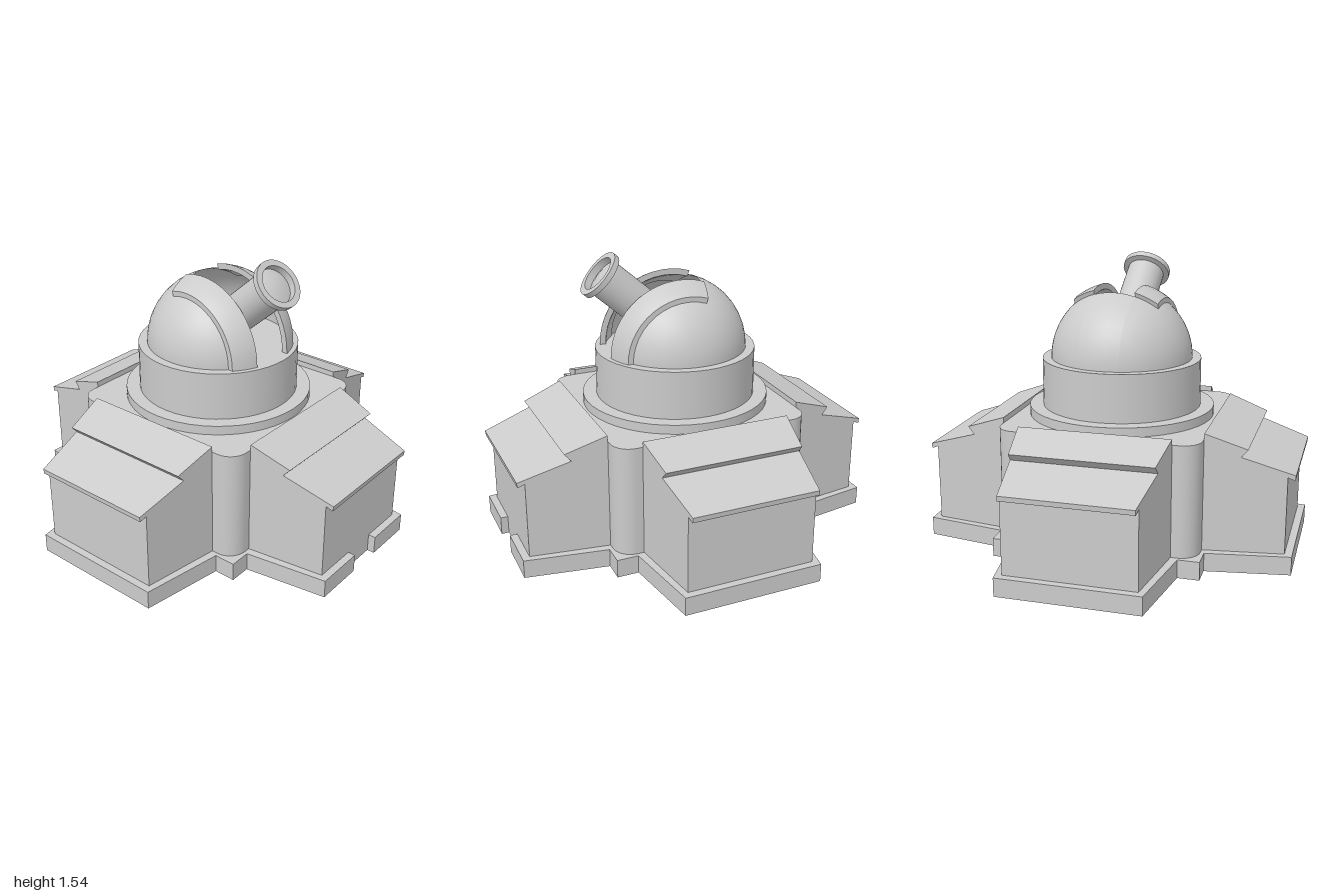
import * as THREE from 'three';
import { toCreasedNormals } from 'three/addons/utils/BufferGeometryUtils.js';

const material = new THREE.MeshStandardMaterial({ color: 0xcccccc, side: THREE.DoubleSide });
const vec = ([x, y]) => new THREE.Vector2(x, y);

function add(parent, name, geometry) {
  const mesh = new THREE.Mesh(geometry, material);
  mesh.name = name;
  parent.add(mesh);
  return mesh;
}

// Repeat a list of plan points around the four quadrants.
function fourfold(points) {
  const out = [];
  for (let k = 0; k < 4; k++) {
    for (let [x, y] of points) {
      for (let i = 0; i < k; i++) [x, y] = [-y, x];
      out.push([x, y]);
    }
  }
  return out;
}

// C-shaped plinth following the walls, open at the entrance on +x.
function plinthGeometry() {
  const outer = fourfold([[1, 0.375], [0.56, 0.445], [0.56, 0.56], [0.445, 0.56], [0.375, 1]]);
  const inner = fourfold([[0.96, 0.345], [0.54, 0.405], [0.54, 0.44], [0.51, 0.51], [0.44, 0.54], [0.405, 0.54], [0.345, 0.96]]);
  const loop = [[1, 0.1], ...outer, [1, -0.1], [0.96, -0.1], ...inner.reverse(), [0.96, 0.1]];
  return new THREE.ExtrudeGeometry(new THREE.Shape(loop.map(vec)), { depth: 0.1, bevelEnabled: false })
    .rotateX(-Math.PI / 2);
}

// Wing section as [distance from centre, height]; its half width tapers outward.
const WING = [[0.54, 0.7], [0.54, 0.73], [0.76, 0.653], [0.725, 0.613], [1, 0.527], [0.997, 0.5], [0.96, 0.515], [0.96, 0]];
const halfWidth = (r) => 0.405 - (r - 0.54) * 0.141;

function wingSkin() {
  const pos = [];
  for (let i = 0; i < WING.length - 1; i++) {
    const [[r, y], [r2, y2]] = [WING[i], WING[i + 1]];
    const w = halfWidth(r), w2 = halfWidth(r2);
    pos.push(-w, y, r, -w2, y2, r2, w, y, r);
    pos.push(w, y, r, -w2, y2, r2, w2, y2, r2);
  }
  const geometry = new THREE.BufferGeometry();
  geometry.setAttribute('position', new THREE.Float32BufferAttribute(pos, 3));
  geometry.computeVertexNormals();
  return geometry;
}

function wingSide(sign) {
  const geometry = new THREE.ShapeGeometry(new THREE.Shape([...WING, [0.54, 0]].map(vec)));
  const p = geometry.attributes.position;
  for (let i = 0; i < p.count; i++) {
    const r = p.getX(i);
    p.setXYZ(i, sign * halfWidth(r), p.getY(i), r);
  }
  if (sign > 0) geometry.setIndex([...geometry.index.array].reverse());
  geometry.computeVertexNormals();
  return geometry;
}

// Rounded corner wall between two wings.
function cornerWall() {
  const plan = [[0.54, 0.4]];
  for (let i = 0; i <= 8; i++) {
    const a = (i / 8) * Math.PI / 2;
    plan.push([0.44 + 0.1 * Math.cos(a), 0.44 + 0.1 * Math.sin(a)]);
  }
  plan.push([0.4, 0.54]);
  const pos = [], index = [];
  plan.forEach(([x, z], i) => {
    pos.push(x, 0, z, x, 0.7, z);
    const a = 2 * i;
    if (i) index.push(a - 2, a - 1, a, a, a - 1, a + 1);
  });
  const geometry = new THREE.BufferGeometry();
  geometry.setAttribute('position', new THREE.Float32BufferAttribute(pos, 3));
  geometry.setIndex(index);
  geometry.computeVertexNormals();
  return geometry;
}

function coreRoof() {
  const s = new THREE.Shape();
  for (let k = 0; k < 4; k++) {
    const [cx, cy] = [[0.44, 0.44], [-0.44, 0.44], [-0.44, -0.44], [0.44, -0.44]][k];
    s.absarc(cx, cy, 0.1, k * Math.PI / 2, (k + 1) * Math.PI / 2, false);
  }
  return new THREE.ShapeGeometry(s, 8).rotateX(-Math.PI / 2).translate(0, 0.7, 0);
}

// Arc of a sphere between two z planes, as [radius about z, z].
function sphereProfile(R, z0, z1, n) {
  return Array.from({ length: n + 1 }, (_, i) => {
    const t0 = Math.asin(z0 / R), t1 = Math.asin(z1 / R);
    const t = t0 + (t1 - t0) * i / n;
    return [Math.max(0, R * Math.cos(t)), R * Math.sin(t)];
  });
}

// Revolve about the z axis; angles run from +x over the top to -x.
function revolve(profile, from, to, segments) {
  return new THREE.LatheGeometry(profile.map(vec), segments, from + Math.PI / 2, to - from).rotateX(Math.PI / 2);
}

function createDome() {
  const dome = new THREE.Group();
  dome.name = 'dome';
  const R = 0.385, slit = 0.115, slitEnd = 1.89;
  add(dome, 'domeSideLeft', revolve(sphereProfile(R, slit, R, 14), 0, Math.PI, 20));
  add(dome, 'domeSideRight', revolve(sphereProfile(R, -R, -slit, 14), 0, Math.PI, 20));
  add(dome, 'domeBack', revolve(sphereProfile(R, -slit, slit, 6), slitEnd, Math.PI, 8));

  // Curved shutters on both sides of the slit, with closed ends
  for (const side of [-1, 1]) {
    const [z0, z1] = side > 0 ? [slit, 0.237] : [-0.237, -slit];
    const section = [...sphereProfile(0.407, z0, z1, 5), ...sphereProfile(0.375, z0, z1, 5).reverse()];
    const shutter = new THREE.Group();
    shutter.name = side > 0 ? 'shutterLeft' : 'shutterRight';
    const band = revolve([...section, section[0]], 0, slitEnd, 14);
    add(shutter, 'shutterBand', toCreasedNormals(band, 0.6));
    for (const a of [0, slitEnd]) {
      add(shutter, 'shutterEnd', new THREE.ShapeGeometry(new THREE.Shape(section.map(vec))).rotateY(a).rotateX(Math.PI / 2));
    }
    dome.add(shutter);
  }

  // Telescope: flanged tube with a recessed, slightly domed lens
  const tube = [[0, 0], [0.103, 0], [0.103, 0.33], [0.133, 0.335], [0.133, 0.365], [0.1, 0.365], [0.1, 0.325], [0.06, 0.337], [0, 0.343]];
  const telescope = add(dome, 'telescope', toCreasedNormals(new THREE.LatheGeometry(tube.map(vec), 32), 0.6));
  telescope.rotation.z = -0.85;
  telescope.position.set(0.145, 0.19, 0);

  dome.position.y = 1.01;
  dome.rotation.y = -0.085;
  return dome;
}

export function createModel() {
  const model = new THREE.Group();
  model.name = 'observatory';
  add(model, 'plinth', plinthGeometry());
  add(model, 'coreRoof', coreRoof());

  // Four wings and the rounded corners between them
  for (let k = 0; k < 4; k++) {
    const wing = new THREE.Group();
    wing.name = 'wing' + (k + 1);
    add(wing, 'roofAndEndWall', wingSkin());
    add(wing, 'sideWallLeft', wingSide(1));
    add(wing, 'sideWallRight', wingSide(-1));
    add(wing, 'cornerWall', cornerWall());
    wing.rotation.y = k * Math.PI / 2;
    model.add(wing);
  }

  // Round base and drum under the dome
  add(model, 'baseRing', new THREE.CylinderGeometry(0.507, 0.507, 0.05, 48)).position.y = 0.726;
  add(model, 'drum', new THREE.CylinderGeometry(0.433, 0.433, 0.26, 48)).position.y = 0.88;
  model.add(createDome());
  return model;
}
